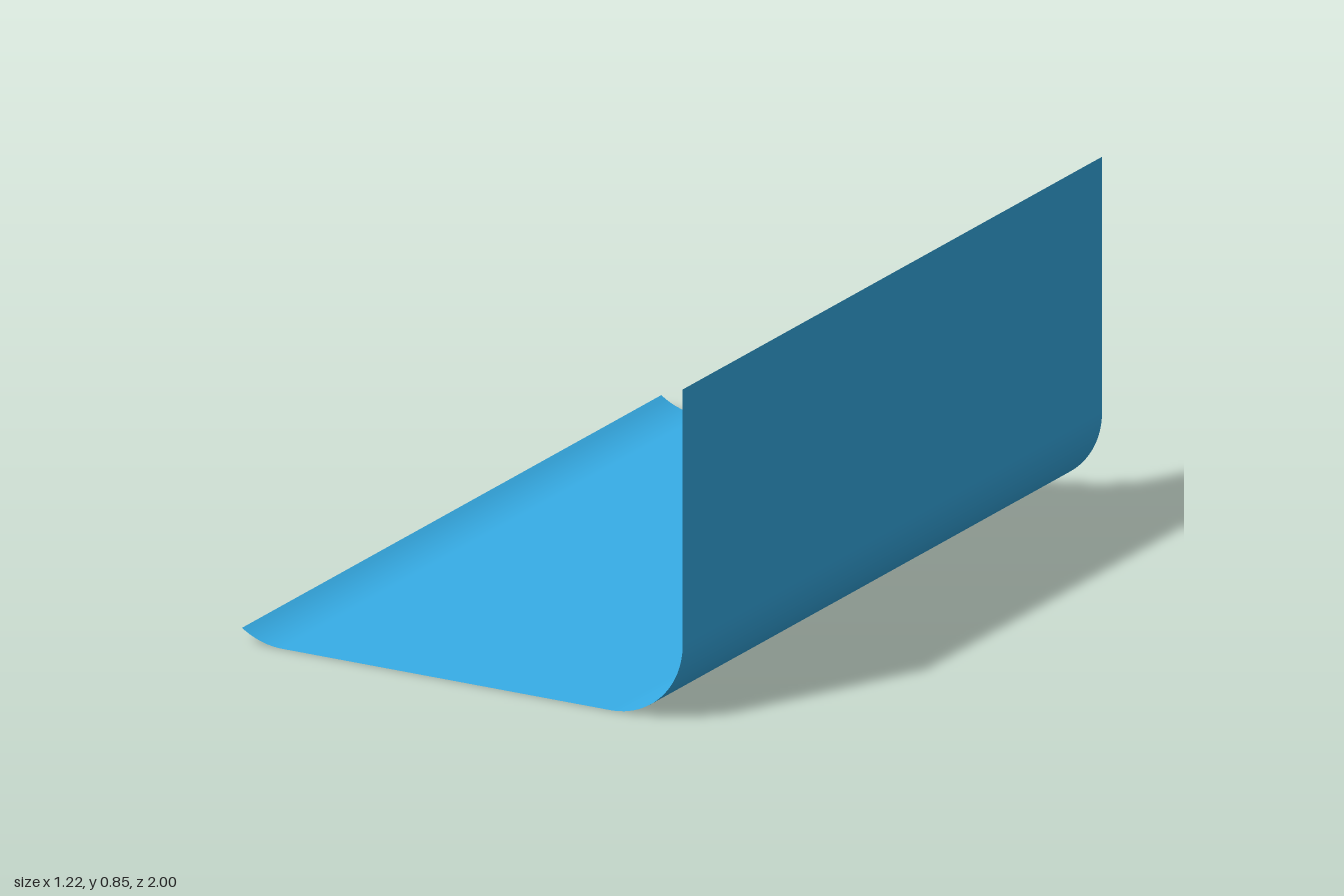
import * as THREE from 'three';

const HALF_WIDTH = 0.61, HEIGHT = 0.845, BEND = 0.2, LIP_RISE = 0.034;

// Cross-section of the sheet: short curled lip, flat floor, round bend, upright wall
function sheetProfile() {
  const pts = [];
  const lipAngle = Math.acos(1 - LIP_RISE / BEND);
  const lipX = -HALF_WIDTH + BEND * Math.sin(lipAngle);
  const arc = (cx, from, to, steps) => {
    for (let i = 0; i <= steps; i++) {
      const a = from + (to - from) * i / steps;
      pts.push(new THREE.Vector2(cx + BEND * Math.sin(a), BEND * (1 - Math.cos(a))));
    }
  };
  arc(lipX, -lipAngle, 0, 8);
  arc(HALF_WIDTH - BEND, 0, Math.PI / 2, 24);
  pts.push(new THREE.Vector2(HALF_WIDTH, HEIGHT));
  return pts;
}

export function createModel() {
  const model = new THREE.Group();

  // Curved backdrop sheet: a plane whose columns follow the cross-section
  const profile = sheetProfile();
  const sheet = new THREE.PlaneGeometry(1, 2, profile.length - 1, 1);
  sheet.rotateX(-Math.PI / 2);
  const pos = sheet.attributes.position;
  for (let i = 0; i < pos.count; i++) {
    const p = profile[i % profile.length];
    pos.setXY(i, p.x, p.y);
  }
  sheet.computeVertexNormals();
  const backdrop = new THREE.Mesh(sheet, new THREE.MeshStandardMaterial({
    color: 0x37aee8, side: THREE.DoubleSide,
  }));
  backdrop.name = 'backdropSheet';
  model.add(backdrop);

  // Small cylinder resting just above the floor
  const peg = new THREE.Mesh(
    new THREE.CylinderGeometry(0.042, 0.042, 0.085, 32),
    new THREE.MeshStandardMaterial({ color: 0xcccccc }),
  );
  peg.name = 'smallCylinder';
  peg.position.set(0.232, 0.0525, -0.09);
  model.add(peg);

  return model;
}
